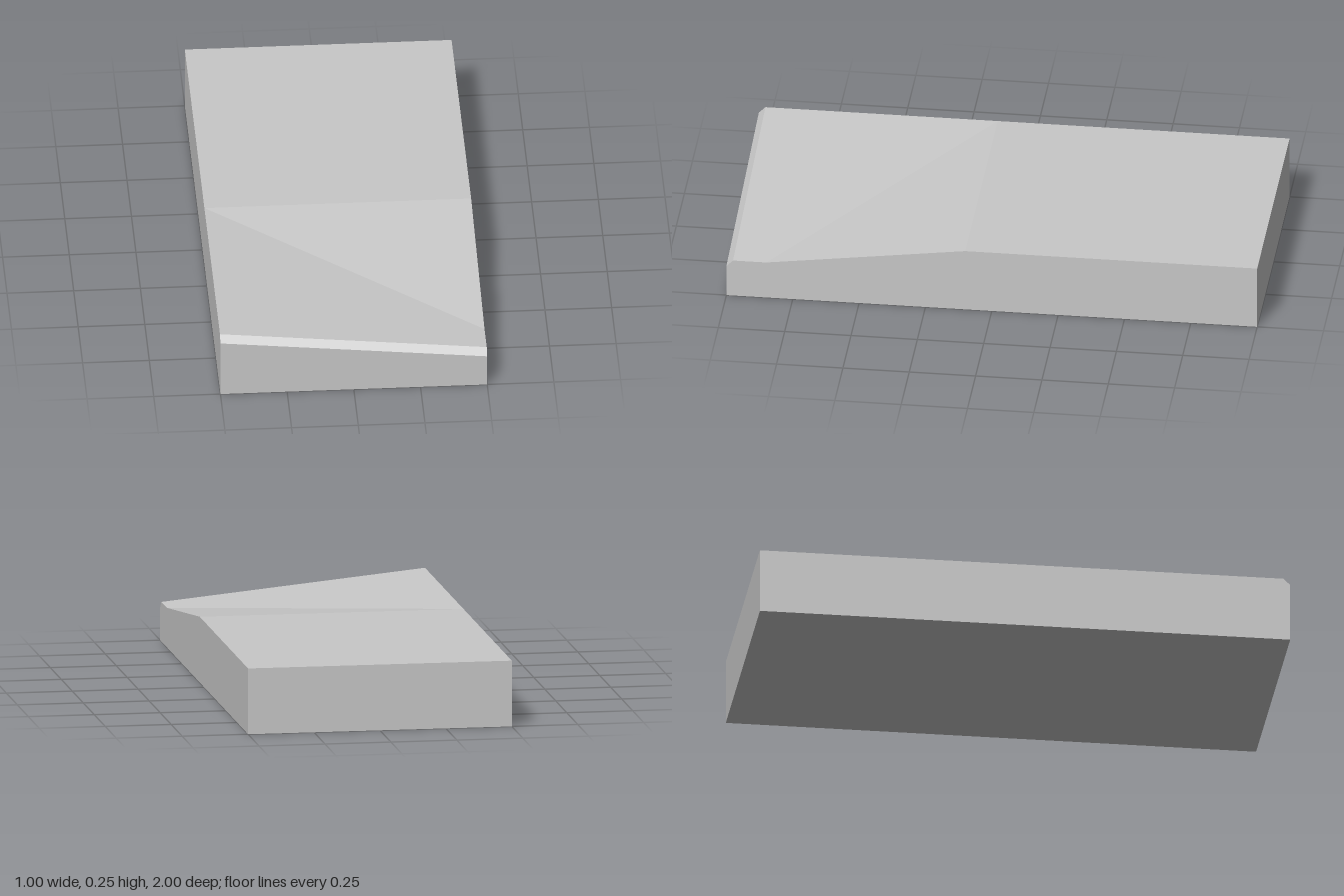
import * as THREE from 'three';

export function createModel() {
  const group = new THREE.Group();
  group.name = 'slopedSlab';

  const grey = new THREE.MeshStandardMaterial({ color: 0xc8c8c8 });
  grey.name = 'light grey';

  // Stations along the slab: z, top height at the right (-x) edge, top height at the left (+x) edge
  const stations = [
    [-1, 0.25, 0.25],
    [0.1, 0.25, 0.25], // slope begins
    [0.85, 0.25, 0.15], // slope ends at the low edge
    [0.975, 0.25, 0.15], // chamfer begins
    [1, 0.225, 0.125],
  ];
  const sections = stations.map(([z, high, low]) => [
    [-0.5, 0, z], [-0.5, high, z], [0.5, low, z], [0.5, 0, z],
  ]);

  const positions = [];
  const quad = (a, b, c, d) => positions.push(...a, ...b, ...c, ...a, ...c, ...d);

  // Sides, top and bottom; the quad diagonal forms the crease across the slope
  for (let i = 0; i < sections.length - 1; i++) {
    const back = sections[i], front = sections[i + 1];
    for (let j = 0; j < 4; j++) {
      const k = (j + 1) % 4;
      quad(back[j], front[j], front[k], back[k]);
    }
  }

  // End walls
  const [bl, tl, tr, br] = sections[sections.length - 1];
  quad(bl, br, tr, tl);
  quad(...sections[0]);

  const geometry = new THREE.BufferGeometry();
  geometry.setAttribute('position', new THREE.Float32BufferAttribute(positions, 3));
  geometry.computeVertexNormals(); // unshared corners give flat faces

  const slab = new THREE.Mesh(geometry, grey);
  slab.name = 'slab';
  group.add(slab);
  return group;
}
